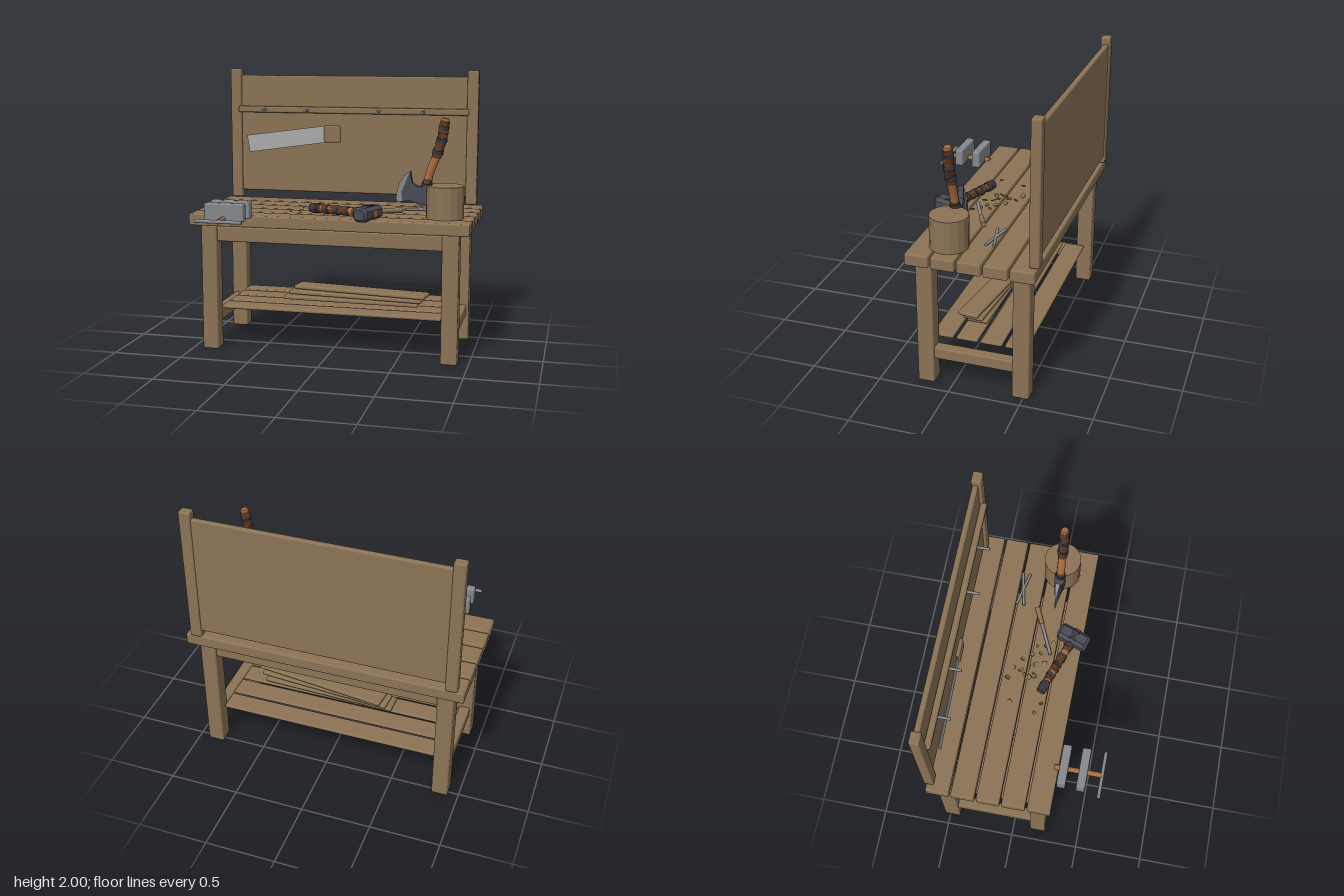
import * as THREE from 'three';
import { RoundedBoxGeometry } from 'three/addons/geometries/RoundedBoxGeometry.js';

const mat = (name, color, extra = {}) => Object.assign(new THREE.MeshStandardMaterial({ color, ...extra }), { name });
const M = {
  wood: mat('benchWood', 0x8b7355),
  steel: mat('steel', 0x85888c),
  blade: mat('sawSteel', 0xaaaaac),
  haft: mat('haftWood', 0xa86c40),
  leather: mat('leather', 0x5c3820),
  strap: mat('darkStrap', 0x37373d),
  iron: mat('darkIron', 0x494b55),
};
const V = (x, y, z) => new THREE.Vector3(x, y, z);
const UP = V(0, 1, 0);

function add(parent, name, geometry, material, x = 0, y = 0, z = 0) {
  const mesh = new THREE.Mesh(geometry, material);
  mesh.name = name;
  mesh.position.set(x, y, z);
  parent.add(mesh);
  return mesh;
}

// Softly rounded block given by centre and size
function block(parent, name, material, [x, y, z], [w, h, d], r = 0.012) {
  const radius = Math.min(r, Math.min(w, h, d) * 0.45);
  return add(parent, name, new RoundedBoxGeometry(w, h, d, 2, radius), material, x, y, z);
}

// Round bar between two points
function rod(parent, name, material, a, b, r0, r1 = r0, sides = 12) {
  const dir = b.clone().sub(a);
  const mesh = add(parent, name, new THREE.CylinderGeometry(r1, r0, dir.length(), sides), material);
  mesh.position.copy(a).lerp(b, 0.5);
  mesh.quaternion.setFromUnitVectors(UP, dir.normalize());
  return mesh;
}

// Overlapping leather and strap bands wound around a haft
function wrap(parent, curve, t0, t1, count, radius) {
  const step = (t1 - t0) / count;
  const len = curve.getLength() * step;
  for (let i = 0; i < count; i++) {
    const t = t0 + (i + 0.5) * step;
    const dark = i % 3 === 1;
    const r = radius + (dark ? 0.004 : 0) + 0.002 * Math.sin(i * 2.3);
    const g = new THREE.CylinderGeometry(r * 0.95, r, len * (dark ? 1.0 : 1.25), 10);
    const band = add(parent, dark ? 'gripStrap' : 'gripLeather', g, dark ? M.strap : M.leather);
    band.position.copy(curve.getPointAt(t));
    band.quaternion.setFromUnitVectors(UP, curve.getTangentAt(t));
    band.rotateX(0.22 * Math.sin(i * 1.9));
    band.rotateZ(0.22 * Math.cos(i * 1.3));
  }
}

function polygon(points) {
  return new THREE.Shape(points.map(([x, y]) => new THREE.Vector2(x, y)));
}

function buildBench(root) {
  const bench = new THREE.Group();
  bench.name = 'bench';
  root.add(bench);
  for (let i = 0; i < 5; i++) {
    block(bench, 'topPlank', M.wood, [0, 0.957, 0.206 - i * 0.1785], [2, 0.086, 0.165]);
  }
  for (const z of [0.186, -0.483]) {
    for (const s of [-1, 1]) block(bench, 'leg', M.wood, [s * 0.867, 0.456, z], [0.117, 0.912, 0.117]);
    block(bench, 'apron', M.wood, [0, 0.85, z], [1.64, 0.11, 0.08]);
  }
  for (const s of [-1, 1]) block(bench, 'sideStretcher', M.wood, [s * 0.867, 0.224, -0.148], [0.08, 0.086, 0.58]);
  for (let i = 0; i < 4; i++) {
    block(bench, 'shelfPlank', M.wood, [0, 0.303, 0.108 - i * 0.173], [1.6, 0.025, 0.152]);
  }
  // Loose boards stacked on the shelf
  for (let i = 0; i < 3; i++) {
    const board = block(bench, 'storedBoard', M.wood,
      [0.11 + i * 0.033, 0.345 + i * 0.035, -0.09], [1, 0.029, 0.15]);
    board.rotation.y = -0.03 - i * 0.05;
  }
  // Back panel with posts, rail and pegs
  for (const s of [-1, 1]) block(bench, 'backPost', M.wood, [s * 0.913, 1.503, -0.571], [0.084, 0.994, 0.07]);
  block(bench, 'backPanel', M.wood, [0, 1.505, -0.577], [1.76, 0.89, 0.04]);
  block(bench, 'toolRail', M.wood, [0, 1.692, -0.532], [1.775, 0.048, 0.044]);
  for (const x of [-0.668, -0.333, 0.22, 0.555]) {
    rod(bench, 'peg', M.steel, V(x, 1.692, -0.53), V(x, 1.692, -0.425), 0.01);
  }
}

function buildSaw(root) {
  const saw = new THREE.Group();
  saw.name = 'handSaw';
  root.add(saw);
  const outline = polygon([[-0.79, 1.365], [-0.19, 1.45], [-0.19, 1.577], [-0.812, 1.494]]);
  add(saw, 'sawBlade', new THREE.ExtrudeGeometry(outline, { depth: 0.006, bevelEnabled: false }), M.blade, 0, 0, -0.496);
  block(saw, 'sawHandle', M.wood, [-0.135, 1.516, -0.493], [0.13, 0.128, 0.028]);
}

function buildVise(root) {
  const vise = new THREE.Group();
  vise.name = 'vise';
  root.add(vise);
  for (const z of [0.325, 0.46]) block(vise, 'viseJaw', M.steel, [-0.666, 1.05, z], [0.284, 0.126, 0.062]);
  rod(vise, 'viseScrew', M.haft, V(-0.668, 1.004, 0.257), V(-0.668, 1.004, 0.59), 0.019);
  rod(vise, 'viseBar', M.steel, V(-0.835, 1.003, 0.593), V(-0.5, 1.003, 0.593), 0.0125);
}

function buildAxe(root) {
  const axe = new THREE.Group();
  axe.name = 'axe';
  axe.position.z = 0.05;
  root.add(axe);
  const curve = new THREE.CatmullRomCurve3([
    V(0.665, 1.1, 0), V(0.668, 1.2, 0), V(0.688, 1.3, 0), V(0.732, 1.42, 0), V(0.772, 1.55, 0), V(0.793, 1.685, 0)]);
  add(axe, 'axeHaft', new THREE.TubeGeometry(curve, 24, 0.029, 10), M.haft);
  rod(axe, 'haftEnd', M.haft, curve.getPointAt(0.985), V(0.794, 1.691, 0), 0.03, 0.024);
  wrap(axe, curve, 0.55, 0.975, 9, 0.035);
  wrap(axe, curve, 0.16, 0.28, 3, 0.034);

  // Head thins from the eye towards the cutting edge
  const forge = (name, points, material) => {
    const g = new THREE.ExtrudeGeometry(polygon(points), { depth: 2, bevelEnabled: false });
    const p = g.attributes.position;
    for (let i = 0; i < p.count; i++) {
      const k = THREE.MathUtils.clamp((p.getX(i) - 0.455) / 0.19, 0, 1);
      p.setZ(i, (p.getZ(i) - 1) * (0.002 + 0.036 * Math.pow(k, 1.3)));
    }
    g.computeVertexNormals();
    add(axe, name, g, material);
  };
  forge('axeHead', [[0.557, 1.325], [0.525, 1.25], [0.495, 1.175], [0.498, 1.105], [0.55, 1.115], [0.6, 1.1],
    [0.636, 1.08], [0.685, 1.085], [0.69, 1.18], [0.672, 1.23], [0.645, 1.215], [0.61, 1.215], [0.57, 1.24]], M.iron);
  forge('axeEdge', [[0.557, 1.325], [0.51, 1.285], [0.476, 1.23], [0.458, 1.165], [0.455, 1.12], [0.465, 1.1],
    [0.498, 1.105], [0.495, 1.175], [0.525, 1.25]], M.steel);
}

function buildMallet(root) {
  const mallet = new THREE.Group();
  mallet.name = 'hammer';
  mallet.position.set(0.29, 1.042, 0.222);
  mallet.rotation.y = -0.345;
  root.add(mallet);
  // Chamfered iron head
  const w = 0.043, h = 0.034, c = 0.016;
  const section = polygon([[-w, -h + c], [-w + c, -h], [w - c, -h], [w, -h + c],
    [w, h - c], [w - c, h], [-w + c, h], [-w, h - c]]);
  const head = new THREE.ExtrudeGeometry(section, {
    depth: 0.198, bevelEnabled: true, bevelThickness: 0.018, bevelSize: 0.015, bevelSegments: 1 });
  add(mallet, 'hammerHead', head, M.iron, 0, 0, -0.099);
  // Crossed straps over the eye of the head
  for (const s of [-1, 1]) {
    const band = add(mallet, 'headStrap', new THREE.BoxGeometry(0.085, 0.006, 0.016), M.strap, 0, 0.05, 0);
    band.rotation.y = s * 0.6;
  }
  const curve = new THREE.LineCurve3(V(-0.465, -0.004, 0), V(0.066, 0, 0));
  rod(mallet, 'hammerHaft', M.haft, curve.v1, curve.v2, 0.028);
  wrap(mallet, curve, 0.02, 0.6, 11, 0.031);
  wrap(mallet, curve, 0.66, 0.86, 4, 0.032);
  rod(mallet, 'hammerPommel', M.strap, V(-0.475, -0.004, 0), V(-0.425, -0.004, 0), 0.032, 0.036);
}

function buildSmallTools(root) {
  const chisel = new THREE.Group();
  chisel.name = 'chisel';
  root.add(chisel);
  rod(chisel, 'chiselBlade', M.steel, V(0.14, 1.016, 0.078), V(0.37, 1.022, -0.028), 0.012);
  rod(chisel, 'chiselHandle', M.wood, V(0.36, 1.022, -0.023), V(0.478, 1.024, -0.08), 0.016, 0.019);

  // Two crossed arms
  const tongs = new THREE.Group();
  tongs.name = 'tongs';
  root.add(tongs);
  for (const s of [-1, 1]) {
    rod(tongs, 'tongArm', M.steel, V(0.485, 1.013, -0.21 - s * 0.028), V(0.737, 1.013, -0.21 + s * 0.028), 0.01);
  }

  // Wood shavings: x, z pairs
  const spots = [[-0.26, -0.14], [-0.085, -0.19], [0, -0.16], [-0.005, -0.1], [0.075, -0.11], [-0.055, -0.04],
    [-0.02, -0.015], [0.02, -0.04], [-0.04, -0.005], [0.12, -0.05], [-0.31, 0.045], [-0.235, 0.08], [0.065, 0.05],
    [0.14, 0.01], [0.19, -0.03], [0.235, 0.085], [0.2, 0.04], [-0.04, -0.08], [-0.015, -0.115], [0.05, -0.01]];
  spots.forEach(([x, z], i) => {
    const r = 0.015 + 0.004 * Math.sin(i * 1.7);
    const chip = add(root, 'shaving', new THREE.CylinderGeometry(r, r, 0.006, 10), M.wood, x, 1.01, z);
    chip.rotation.set(0.5 * Math.sin(i * 2.1), 0, 0.6 * Math.cos(i * 3.7));
  });
}

export function createModel() {
  const root = new THREE.Group();
  root.name = 'workbench';
  buildBench(root);
  buildSaw(root);
  buildVise(root);
  const stump = new THREE.CylinderGeometry(0.132, 0.132, 0.228, 16).toNonIndexed();
  stump.computeVertexNormals();
  add(root, 'choppingBlock', stump, M.wood, 0.8, 1.112, 0.046);
  buildAxe(root);
  buildMallet(root);
  buildSmallTools(root);
  return root;
}
